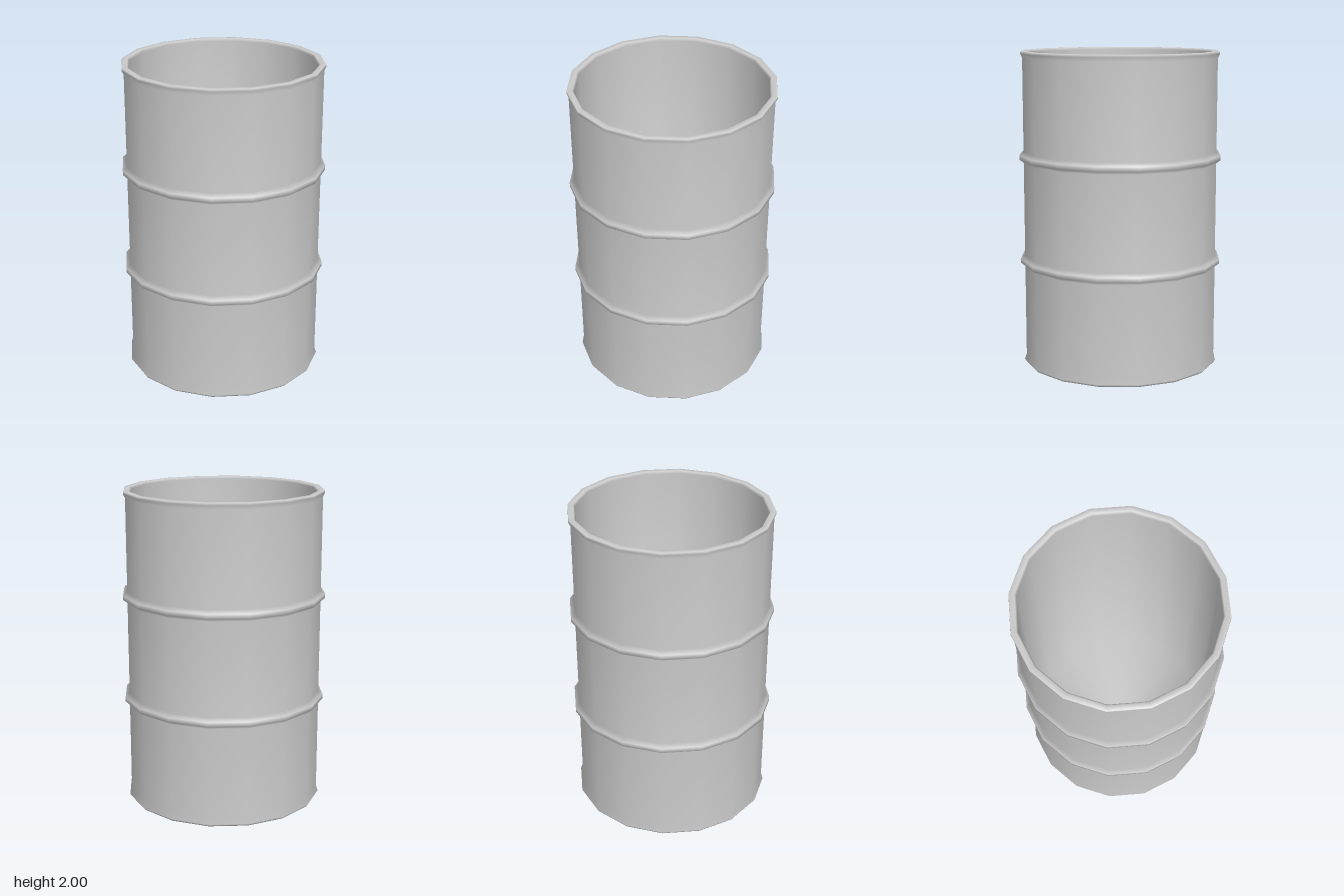
import * as THREE from 'three';

const SIDES = 16;
const WALL = 0.618, RIDGE = 0.645, RIM = 0.63, INNER = 0.585;

// Four profile points of a rolled hoop standing out from the wall
const hoop = (y) => [
  [WALL, y - 0.035], [RIDGE, y - 0.015], [RIDGE, y + 0.015], [WALL, y + 0.035],
];

export function createModel() {
  const group = new THREE.Group();
  group.name = 'openBarrel';
  const material = new THREE.MeshStandardMaterial({ color: 0xcccccc });

  const turn = (name, profile) => {
    const points = profile.map(([r, y]) => new THREE.Vector2(r, y));
    const mesh = new THREE.Mesh(new THREE.LatheGeometry(points, SIDES), material);
    mesh.name = name;
    group.add(mesh);
  };

  // Base, outer wall with two hoops, flared top rim, inner wall and floor
  turn('barrelShell', [
    [0, 0], [0.62, 0], [RIM, 0.015], [WALL, 0.05],
    ...hoop(0.672),
    ...hoop(1.338),
    [WALL, 1.96], [RIM, 1.985], [0.628, 2], [0.595, 2], [INNER, 1.985],
    [INNER, 0.03], [0, 0.03],
  ]);

  return group;
}
